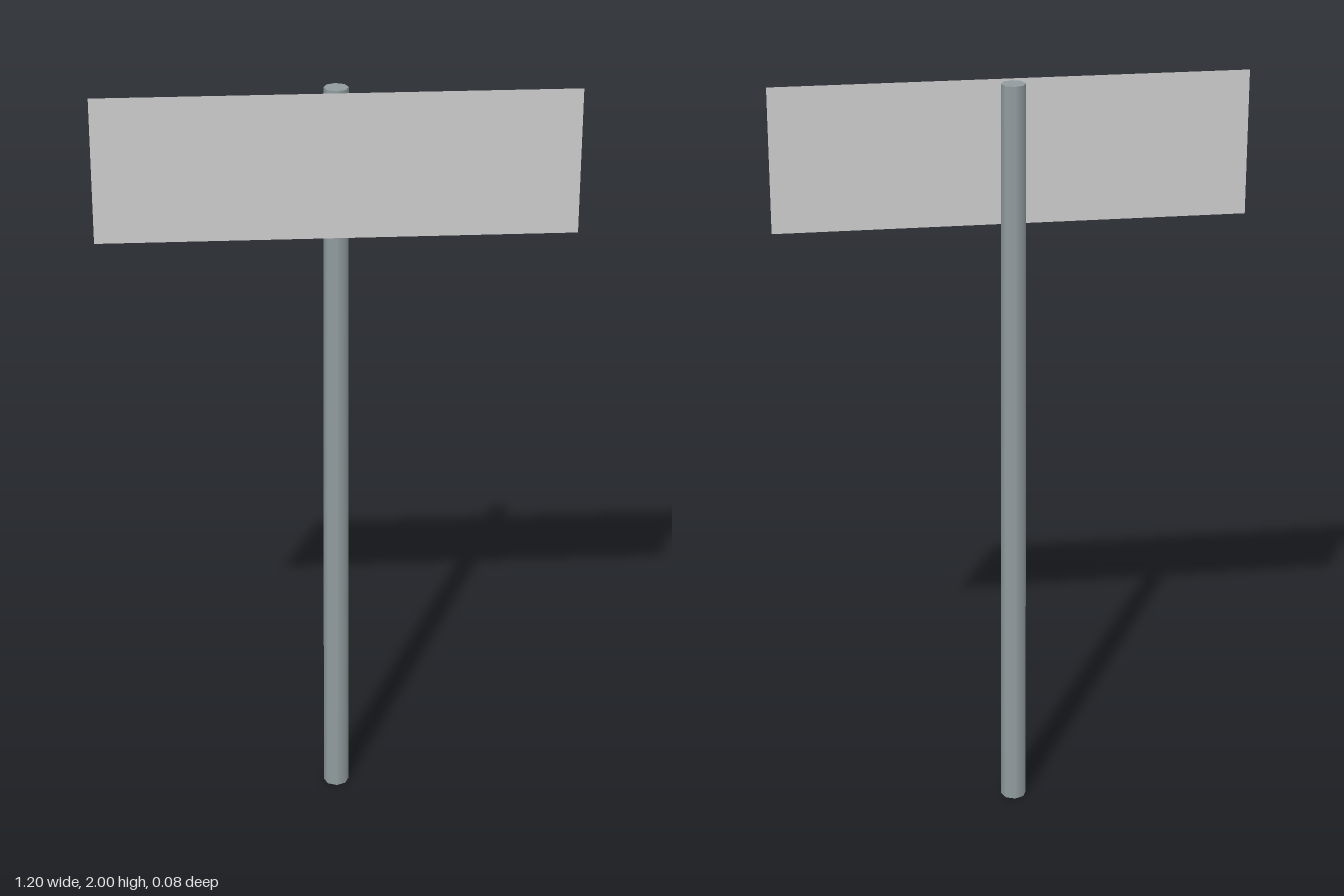
import * as THREE from 'three';

export function createModel() {
  const model = new THREE.Group();

  // Slightly tapered eight-sided post
  const post = new THREE.Mesh(
    new THREE.CylinderGeometry(0.031, 0.034, 2, 8),
    new THREE.MeshStandardMaterial({ color: 0x919c9f })
  );
  post.name = 'post';
  post.position.set(0, 1, -0.007);
  model.add(post);

  // Thin sign panel just in front of the post
  const panel = new THREE.Mesh(
    new THREE.PlaneGeometry(1.2, 0.375),
    new THREE.MeshStandardMaterial({ color: 0xcccccc, side: THREE.DoubleSide })
  );
  panel.name = 'signPanel';
  panel.position.set(0, 1.8125, 0.04);
  model.add(panel);

  return model;
}
